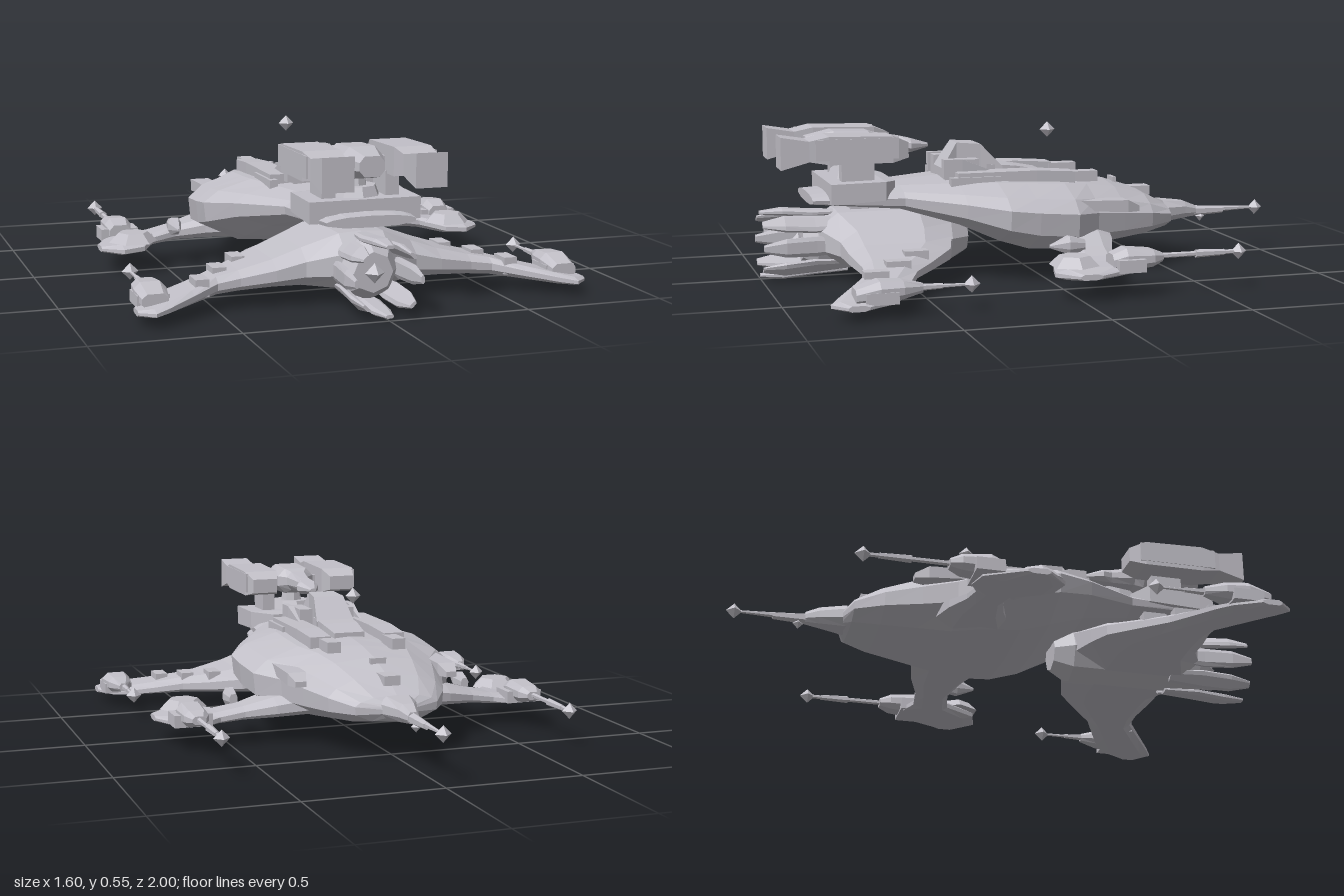
import * as THREE from 'three';

const OCT = [[1, .4], [.6, 1], [-.6, 1], [-1, .4], [-1, -.4], [-.6, -1], [.6, -1], [1, -.4]];
const BOX = [[1, 1], [-1, 1], [-1, -1], [1, -1]];

// Reverses the corners of every triangle
function flip(geo) {
  const p = geo.attributes.position, a = new THREE.Vector3(), b = new THREE.Vector3();
  for (let i = 0; i < p.count; i += 3) {
    a.fromBufferAttribute(p, i + 1); b.fromBufferAttribute(p, i + 2);
    p.setXYZ(i + 1, b.x, b.y, b.z); p.setXYZ(i + 2, a.x, a.y, a.z);
  }
  geo.computeVertexNormals();
  return geo;
}

// Closed solid through a list of rings, each with the same number of points
function loft(rings) {
  const out = [], n = rings[0].length, last = rings.length - 1;
  const tri = (a, b, c) => out.push(...a, ...b, ...c);
  for (let i = 0; i < last; i++) for (let j = 0; j < n; j++) {
    const k = (j + 1) % n;
    tri(rings[i][j], rings[i][k], rings[i + 1][k]);
    tri(rings[i][j], rings[i + 1][k], rings[i + 1][j]);
  }
  for (let j = 1; j < n - 1; j++) {
    tri(rings[0][0], rings[0][j + 1], rings[0][j]);
    tri(rings[last][0], rings[last][j], rings[last][j + 1]);
  }
  const geo = new THREE.BufferGeometry();
  geo.setAttribute('position', new THREE.Float32BufferAttribute(out, 3));
  geo.computeVertexNormals();
  let vol = 0;
  const v = [0, 1, 2].map(() => new THREE.Vector3());
  for (let i = 0; i < out.length; i += 9) {
    v.forEach((q, m) => q.fromArray(out, i + m * 3));
    vol += v[0].dot(v[1].cross(v[2]));
  }
  return vol < 0 ? flip(geo) : geo;
}

// Body along z; stations are [z, half width, bottom, top]
const body = (stations, cx = 0, profile = OCT) => loft(stations.map(([z, w, b, t]) =>
  profile.map(([px, py]) => [cx + px * w, (b + t) / 2 + py * (t - b) / 2, z])));

// Wing along x; sections are [x, leading z, trailing z, bottom, top]
const wing = (sections) => loft(sections.map(([x, l, t, b, u]) => {
  const m = (b + u) / 2, c = t - l, e = (u - b) * .2;
  return [[x, m - e, l], [x, m + e, l], [x, u, l + c * .25], [x, u, t - c * .15],
    [x, m + e, t], [x, m - e, t], [x, b, t - c * .15], [x, b, l + c * .25]];
}));

const box = (x0, x1, y0, y1, z0, z1) =>
  new THREE.BoxGeometry(x1 - x0, y1 - y0, z1 - z0).translate((x0 + x1) / 2, (y0 + y1) / 2, (z0 + z1) / 2);
const rod = (r0, r1, x, y, z0, z1, sides = 6) =>
  new THREE.CylinderGeometry(r1, r0, z1 - z0, sides).rotateX(Math.PI / 2).translate(x, y, (z0 + z1) / 2);
const gem = (x, y, z, r = .03) => new THREE.OctahedronGeometry(r).translate(x, y, z);

export function createModel() {
  const group = new THREE.Group();
  const plating = new THREE.MeshStandardMaterial({ color: 0xc2c0c8, flatShading: true });
  plating.name = 'grey plating';
  const add = (name, geo) => {
    const mesh = new THREE.Mesh(geo, plating);
    mesh.name = name;
    group.add(mesh);
  };
  const pair = (name, geo) => {
    add(name + 'Left', geo);
    add(name + 'Right', flip((geo.index ? geo.toNonIndexed() : geo.clone()).scale(-1, 1, 1)));
  };

  // Main hull: [z, half width, bottom, edge height, top]
  const hull = [[-.58, .06, .15, .175, .2], [-.55, .155, .13, .18, .225], [-.45, .22, .11, .185, .28],
    [-.32, .27, .095, .19, .322], [-.2, .315, .08, .2, .343], [-.1, .39, .078, .21, .353],
    [.05, .4, .088, .225, .36], [.16, .4, .125, .24, .365], [.3, .325, .19, .265, .36],
    [.5, .2, .25, .29, .348], [.83, .16, .28, .298, .32]];
  add('hull', loft(hull.map(([z, w, b, e, t]) => {
    const h = [[.55, t - (t - e) * .12], [.86, t - (t - e) * .42], [1, e + (t - e) * .25],
      [.98, e - (e - b) * .35], [.6, b + (e - b) * .12]];
    return [[0, t], ...h, [0, b], ...h.map(([x, y]) => [-x, y]).reverse()]
      .map(([x, y]) => [x * w, y, z]);
  })));
  pair('sidePanel', body([[-.36, .02, .235, .255], [-.31, .035, .235, .28], [-.1, .035, .25, .285]], .29, BOX));

  // Nose collar and spike
  add('noseCollar', body([[-.71, .02, .155, .195], [-.66, .035, .15, .215], [-.56, .07, .14, .225]]));
  add('noseBarrel', rod(.014, .022, 0, .172, -.83, -.69));
  add('noseSpike', rod(.005, .011, 0, .175, -.96, -.82));
  add('noseGem', gem(0, .175, -.97));
  add('chinGem', gem(0, .15, -.735, .02));
  add('noseHatch', box(-.03, .03, .25, .285, -.51, -.43));
  add('noseSlot', box(-.03, .03, .3, .325, -.37, -.355));

  // Deck blocks, bridge tower and floating beacon
  pair('deckRail', body([[-.15, .04, .33, .375], [.0, .045, .33, .385], [.3, .045, .33, .385]], .145, BOX));
  pair('deckEdge', box(.17, .2, .33, .37, .14, .33));
  pair('frontDeckBlock', box(.1, .152, .33, .37, -.25, -.14));
  add('deckSpine', body([[-.06, .06, .34, .37], [.05, .07, .34, .39], [.16, .07, .34, .4]], 0, BOX));
  add('bridge', body([[.1, .075, .35, .39], [.18, .06, .35, .475], [.27, .05, .35, .482], [.33, .07, .35, .39]], 0, BOX));
  pair('bridgeShoulder', box(.06, .11, .34, .425, .2, .33));
  pair('bridgeFin', body([[.15, .003, .37, .38], [.27, .012, .36, .43], [.34, .012, .36, .43]], .125, BOX));
  add('beacon', gem(0, .515, -.1));

  // Dorsal turret
  add('turretPlinth', body([[.52, .12, .31, .36], [.57, .2, .3, .368], [.77, .2, .29, .365]], 0, BOX));
  add('turretBase', new THREE.CylinderGeometry(.075, .095, .05, 8).translate(0, .375, .66));
  add('turretNeck', new THREE.CylinderGeometry(.035, .045, .07, 8).translate(0, .42, .66));
  add('turretCore', body([[.37, .012, .465, .48], [.44, .045, .45, .5], [.48, .025, .455, .51], [.57, .045, .45, .525],
    [.6, .075, .435, .535], [.73, .075, .43, .54], [.83, .045, .45, .52]]));
  pair('podBracket', box(.09, .14, .35, .45, .6, .72));
  add('podCrossbar', box(-.13, .13, .465, .5, .63, .7));
  pair('weaponPod', body([[.49, .05, .455, .51], [.55, .067, .44, .535], [.78, .067, .44, .54], [.85, .06, .452, .525],
    [.95, .056, .425, .542]], .163, BOX));
  pair('podSidePlate', box(.222, .232, .455, .53, .53, .83));

  // Rear wings with raised blocks
  pair('rearWing', wing([[0, .3, .8, .05, .25], [.08, .3, .8, .055, .245], [.2, .33, .74, .065, .195],
    [.3, .36, .73, .065, .16], [.42, .46, .71, .06, .13], [.5, .53, .71, .055, .115], [.6, .58, .78, .045, .092],
    [.7, .63, .85, .035, .072], [.75, .67, .88, .033, .062], [.8, .76, .83, .035, .055]]));
  [[.385, .51, .15], [.475, .595, .135], [.56, .69, .12]].forEach(([x, z, y]) =>
    pair('wingBlock', box(x - .024, x + .024, y - .06, y, z - .043, z + .043)));

  // Rear wing guns
  pair('rearGunPod', body([[.57, .015, .075, .105], [.64, .045, .06, .12], [.72, .055, .05, .125], [.8, .045, .05, .1]], .735));
  pair('rearGunSide', box(.68, .79, .05, .09, .66, .77));
  pair('rearGunBarrel', rod(.009, .014, .73, .09, .5, .6));
  pair('rearGunRod', rod(.005, .007, .73, .09, .41, .51));
  pair('rearGunGem', gem(.73, .09, .4));

  // Front wings, pads and guns
  pair('frontWing', wing([[.2, -.27, .02, .1, .2], [.34, -.24, -.04, .095, .17], [.45, -.2, -.07, .09, .14],
    [.54, -.19, -.05, .08, .122], [.6, -.22, .07, .075, .115], [.68, -.2, .09, .072, .11], [.75, -.06, .02, .08, .1]]));
  pair('hexPad', new THREE.CylinderGeometry(.055, .09, .035, 6).rotateY(Math.PI / 6).translate(.63, .13, .005));
  pair('frontGunPod', body([[-.31, .025, .115, .145], [-.27, .045, .1, .16], [-.17, .05, .09, .17], [-.12, .04, .09, .15]], .65));
  pair('frontGunSide', box(.58, .72, .09, .135, -.23, -.13));
  pair('frontGunBarrel', rod(.011, .015, .65, .132, -.55, -.44));
  pair('frontGunRod', rod(.008, .01, .65, .132, -.6, -.28));
  pair('frontGunGem', gem(.65, .132, -.605));
  pair('wingSpike', body([[-.09, .015, .13, .17], [-.03, .025, .12, .185], [.04, .004, .145, .155]], .463));

  // Engine drum under the tail
  add('engineDrum', rod(.105, .105, 0, .13, .3, .8, 8).translate(0, 0, 0));
  add('engineCap', rod(.065, .105, 0, .13, .23, .3, 8));
  add('engineTail', rod(.105, .07, 0, .13, .8, .85, 8));
  add('engineCore', gem(0, .13, .86, .035));
  add('enginePylon', box(-.035, .035, .2, .31, .6, .67));

  // Ring of eight thruster vanes
  for (let i = 0; i < 8; i++) {
    const vane = body([[.68, .022, -.008, .006], [.81, .036, -.012, .012], [.92, .033, -.004, .022], [1, .014, .002, .014]]);
    add('thrusterVane', vane.translate(0, .108, 0).rotateZ(i * Math.PI / 4).translate(0, .13, 0));
  }
  return group;
}
